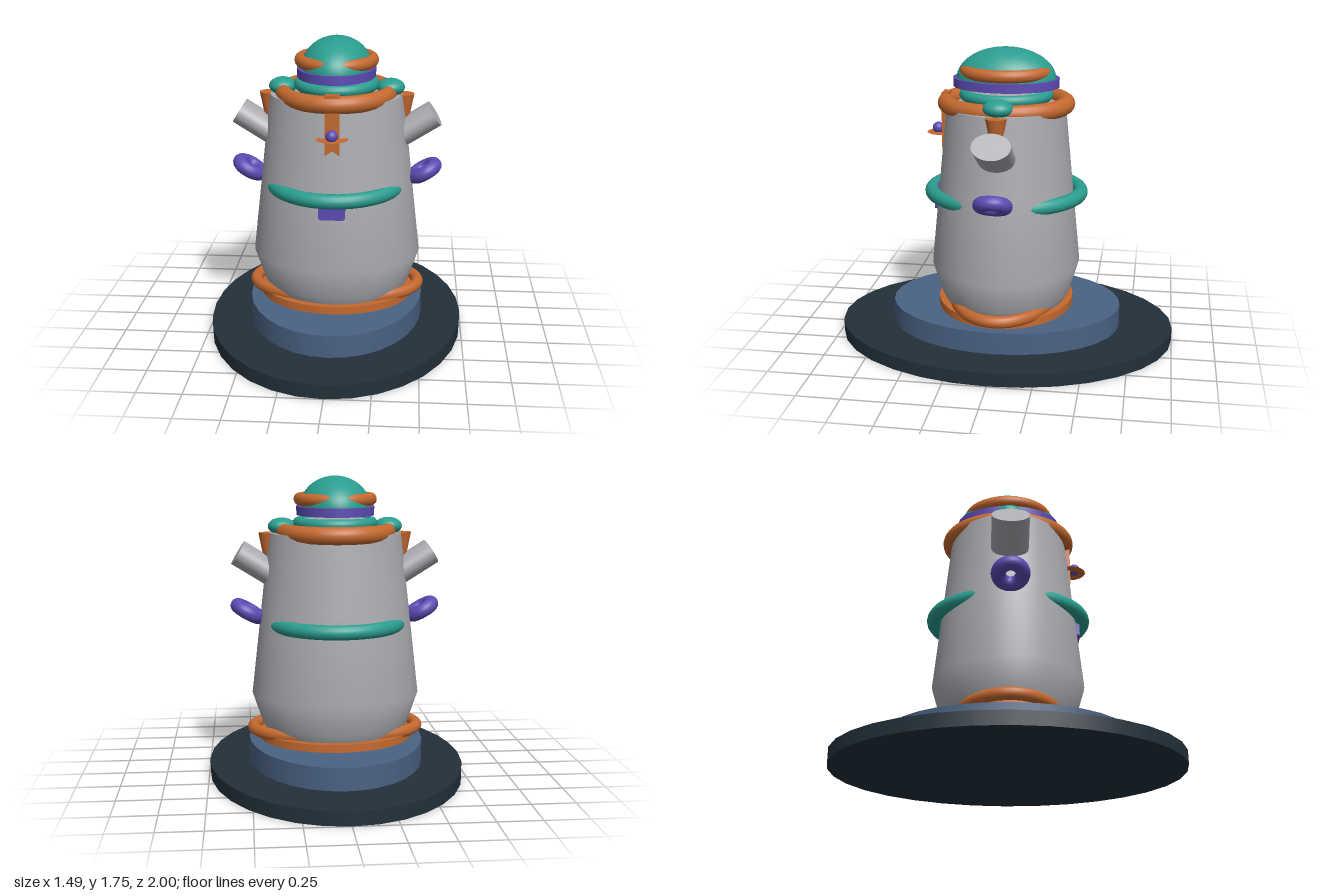
import * as THREE from 'three';

const mat = (name, color, extra = {}) => {
  const m = new THREE.MeshStandardMaterial({ color, ...extra });
  m.name = name;
  return m;
};

export function createModel() {
  const model = new THREE.Group();
  model.name = 'pot';
  const gray = mat('gray', 0xa9abb0);
  const dark = mat('dark slate', 0x22303a);
  const blue = mat('slate blue', 0x4a6283);
  const orange = mat('burnt orange', 0xc4692f);
  const orangeThin = mat('burnt orange', 0xc4692f, { side: THREE.DoubleSide });
  const teal = mat('teal', 0x2a9d8f);
  const purple = mat('purple', 0x5c4bb3);

  const add = (name, geo, material, x = 0, y = 0, z = 0) => {
    const mesh = new THREE.Mesh(geo, material);
    mesh.name = name;
    mesh.position.set(x, y, z);
    model.add(mesh);
    return mesh;
  };
  // Elliptical upright disc between two heights
  const disc = (name, material, rx, rz, y0, y1, sides = 48) =>
    add(name, new THREE.CylinderGeometry(1, 1, y1 - y0, sides).scale(rx, 1, rz), material, 0, (y0 + y1) / 2);
  // Flat-lying ring given its outer half-widths and tube radius
  const ring = (name, material, rx, rz, y, t) => {
    const r = Math.max(rx, rz) - t;
    const geo = new THREE.TorusGeometry(r, t, 16, 64).rotateX(Math.PI / 2);
    return add(name, geo.scale(rx / (r + t), 1, rz / (r + t)), material, 0, y);
  };

  // Stepped base
  disc('base', dark, 0.745, 1, 0, 0.08, 32);
  disc('plinth', blue, 0.51, 0.685, 0.08, 0.21, 32);
  disc('footDisc', orange, 0.45, 0.4, 0.21, 0.255);
  ring('footRing', orange, 0.52, 0.33, 0.268, 0.035);

  // Body: tapered shell, flat top and short neck
  const profile = [[0.40, 0.25], [0.43, 0.3], [0.49, 0.48], [0.435, 0.96], [0.383, 1.42]]
    .map(([r, y]) => new THREE.Vector2(r, y));
  add('body', new THREE.LatheGeometry(profile, 64).scale(1, 1, 0.89), gray);
  disc('bodyTop', gray, 0.383, 0.341, 1.41, 1.42, 64);
  disc('neck', gray, 0.21, 0.235, 1.42, 1.495);

  // Rings around the body
  ring('belt', teal, 0.42, 0.478, 0.902, 0.042);
  ring('rimRing', orange, 0.35, 0.395, 1.425, 0.05);
  ring('neckRing', teal, 0.245, 0.27, 1.475, 0.033);

  // Paired side parts
  for (const s of [1, -1]) {
    const side = s > 0 ? 'left' : 'right';
    const blob = new THREE.SphereGeometry(1, 32, 20).scale(0.08, 0.05, 0.086);
    add(side + 'Shoulder', blob, teal, s * 0.31, 1.456);
    add(side + 'Cone', new THREE.CylinderGeometry(0.06, 0.02, 0.2, 32), orange, s * 0.385, 1.32);

    const arm = new THREE.CylinderGeometry(1, 1, 0.3, 40).scale(0.076, 1, 0.108);
    add(side + 'Arm', arm, gray, s * 0.437, 1.226).rotation.z = -s * THREE.MathUtils.degToRad(58);

    const handle = new THREE.TorusGeometry(0.068, 0.042, 16, 40).rotateX(Math.PI / 2);
    add(side + 'Handle', handle, purple, s * 0.511, 0.963).rotation.z = s * Math.PI / 6;
  }

  // Pocket with rounded lower corners
  const pocket = new THREE.Shape();
  pocket.moveTo(-0.075, 0.93);
  pocket.lineTo(-0.075, 0.805);
  pocket.quadraticCurveTo(-0.075, 0.785, -0.055, 0.785);
  pocket.lineTo(0.055, 0.785);
  pocket.quadraticCurveTo(0.075, 0.785, 0.075, 0.805);
  pocket.lineTo(0.075, 0.93);
  add('pocket', new THREE.ExtrudeGeometry(pocket, { depth: 0.05, bevelEnabled: false }), purple, 0, 0, 0.365);

  // Hanging ribbon with a notched end, its bead and thin saucer
  const ribbon = new THREE.Shape([[-0.04, 1.475], [-0.04, 1.145], [0, 1.17], [0.04, 1.145], [0.04, 1.475]]
    .map(([x, y]) => new THREE.Vector2(x, y)));
  add('ribbon', new THREE.ExtrudeGeometry(ribbon, { depth: 0.042, bevelEnabled: false }), orange, 0, 0, 0.33);
  add('ribbonClip', new THREE.BoxGeometry(0.08, 0.02, 0.042), orange, 0, 1.472, 0.345);
  add('bead', new THREE.SphereGeometry(0.034, 24, 16), purple, 0, 1.263, 0.4);
  add('saucer', new THREE.CircleGeometry(0.09, 24).rotateX(-Math.PI / 2), orangeThin, 0, 1.24, 0.375);

  // Domed cap
  disc('capBand', purple, 0.225, 0.305, 1.522, 1.572);
  const dome = new THREE.SphereGeometry(1, 40, 20, 0, Math.PI * 2, 0, Math.PI / 2).scale(0.205, 0.185, 0.287);
  add('capDome', dome, teal, 0, 1.56);
  ring('capRing', orange, 0.24, 0.267, 1.612, 0.036);

  return model;
}
